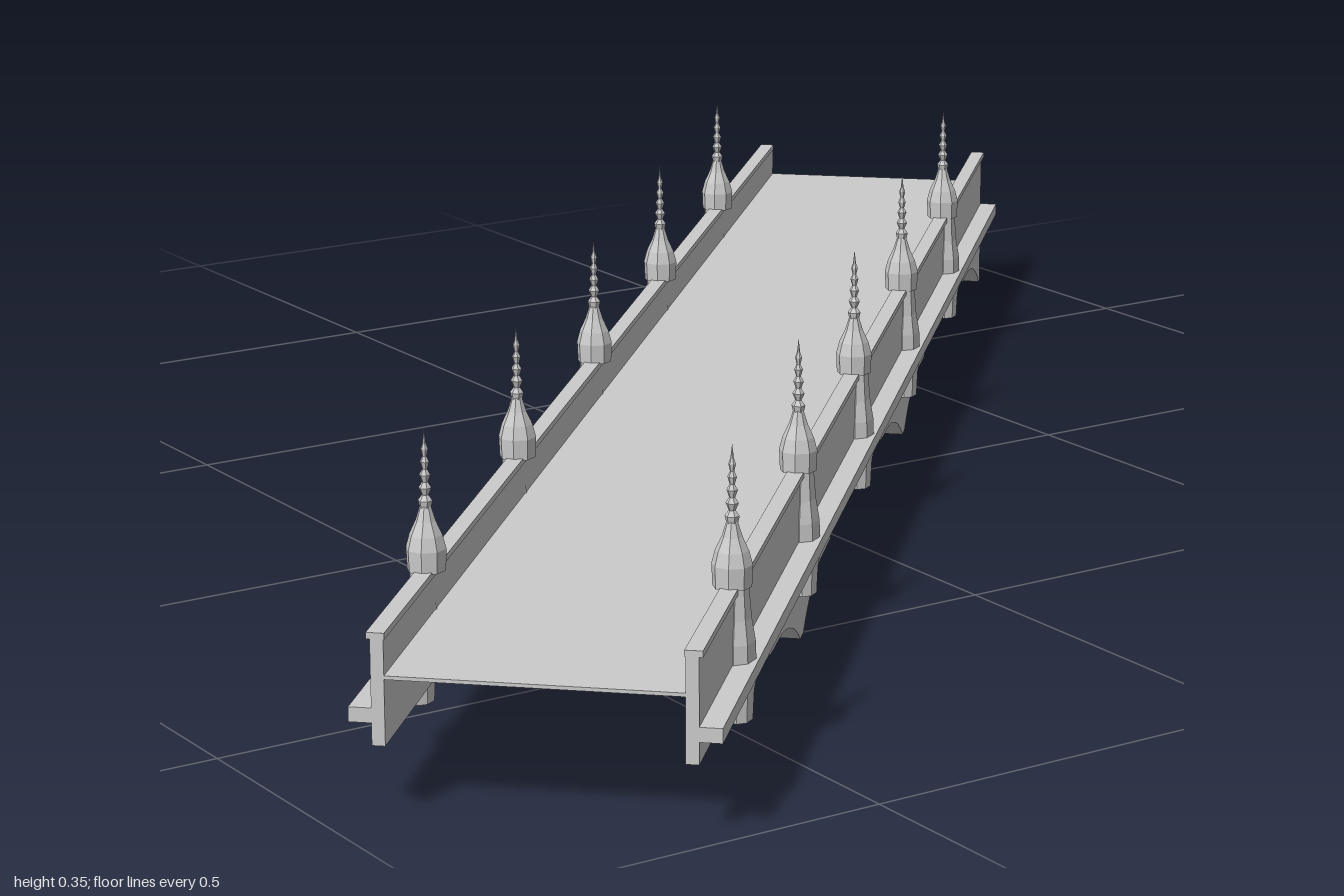
import * as THREE from 'three';

const HALF = 1.2;            // half length of the bridge
const WALL = 0.168;          // outer face of the side walls
const PERIOD = 0.436;        // spacing of the posts
const PIERS = [-0.545, 0.327, 1.2];
const PIER_HALF = 0.217;

// half of an arch haunch: distance from pier centre, height
const HAUNCH = [[0, 0], [0.012, 0], [0.03, 0.013], [0.055, 0.026], [0.085, 0.037], [0.115, 0.045], [0.14, 0.049], [PIER_HALF, 0.05]];

const mat = new THREE.MeshStandardMaterial({ color: 0xcccccc, flatShading: true, side: THREE.DoubleSide });

function add(parent, name, geo, x = 0, y = 0, z = 0) {
  const m = new THREE.Mesh(geo, mat);
  m.name = name;
  m.position.set(x, y, z);
  parent.add(m);
  return m;
}

// haunch points from left to right around a pier, cut off at the bridge end
function pierProfile(u) {
  const left = HAUNCH.slice().reverse().map(([d, y]) => [u - d, y]);
  const right = HAUNCH.slice(1).map(([d, y]) => [u + d, y]);
  return left.concat(right).filter(p => p[0] <= HALF + 1e-6);
}

// side wall: parapet above, stepped and arched lower edge
function wallGeometry() {
  const s = new THREE.Shape();
  s.moveTo(-HALF, 0.2);
  s.lineTo(-HALF, 0.08);
  for (const u of PIERS) {
    const pts = pierProfile(u);
    s.lineTo(pts[0][0], 0.08);
    pts.forEach(p => s.lineTo(p[0], p[1]));
    if (u + PIER_HALF < HALF) s.lineTo(u + PIER_HALF, 0.08);
  }
  s.lineTo(HALF, 0.2);
  return new THREE.ExtrudeGeometry(s, { depth: 0.014, bevelEnabled: false });
}

// curved underside sheet spanning between the two walls
function soffitGeometry(u) {
  const pos = [], idx = [];
  pierProfile(u).forEach(([x, y], i) => {
    pos.push(x, y, -WALL + 0.002, x, y, WALL - 0.002);
    if (i) {
      const a = 2 * i - 2;
      idx.push(a, a + 2, a + 1, a + 1, a + 2, a + 3);
    }
  });
  const g = new THREE.BufferGeometry();
  g.setAttribute('position', new THREE.Float32BufferAttribute(pos, 3));
  g.setIndex(idx);
  g.computeVertexNormals();
  return g;
}

function lathe(points, sides, depth = 1) {
  const g = new THREE.LatheGeometry(points.map(p => new THREE.Vector2(p[0], p[1])), sides);
  return g.scale(1, 1, depth);
}

// post with pendant, buttress, domed cap and beaded spire
function makePost() {
  const post = new THREE.Group();
  post.name = 'post';
  add(post, 'pendant', lathe([[0, 0.053], [0.02, 0.053], [0.022, 0.085], [0.027, 0.105]], 8, 0.7), 0, 0, 0.008);
  add(post, 'buttress', lathe([[0.028, 0.12], [0.027, 0.14], [0.021, 0.165], [0.018, 0.19], [0.017, 0.205]], 8, 0.7), 0, 0, 0.006);
  add(post, 'cap', lathe([[0, 0.198], [0.021, 0.198], [0.022, 0.222], [0.018, 0.237], [0.011, 0.252], [0.006, 0.268], [0, 0.268]], 8));
  const spire = [[0.005, 0.262]];
  for (let i = 0; i < 5; i++) {
    const y = 0.274 + i * 0.014, r = 0.008 - i * 0.001;
    spire.push([r, y], [r * 0.45, y + 0.006]);
  }
  spire.push([0, 0.352]);
  add(post, 'spire', lathe(spire, 6));
  return post;
}

export function createModel() {
  const root = new THREE.Group();
  root.name = 'bridge';
  const bridge = new THREE.Group();
  bridge.name = 'span';
  bridge.rotation.y = Math.atan2(0.722, 0.692);
  root.add(bridge);

  // thin roadway, hollow underneath
  add(bridge, 'deck', new THREE.BoxGeometry(2 * HALF, 0.004, 2 * WALL - 0.024), 0, 0.153, 0);

  // pier undersides
  PIERS.forEach(u => add(bridge, 'pierSoffit', soffitGeometry(u)));

  // each side is built facing +z; the second is mirrored across z
  for (const side of [1, -1]) {
    const half = new THREE.Group();
    half.name = side > 0 ? 'frontSide' : 'backSide';
    half.scale.z = side;
    bridge.add(half);
    add(half, 'sideWall', wallGeometry(), 0, 0, WALL - 0.014);
    add(half, 'ledge', new THREE.BoxGeometry(2 * HALF, 0.016, 0.03), 0, 0.112, 0.177);
    add(half, 'parapetCap', new THREE.BoxGeometry(2 * HALF, 0.007, 0.019), 0, 0.1965, 0.1625);
    for (let i = 0; i < 5; i++) {
      const post = makePost();
      post.position.set(-0.981 + i * PERIOD, 0, 0.163);
      half.add(post);
    }
  }
  return root;
}
